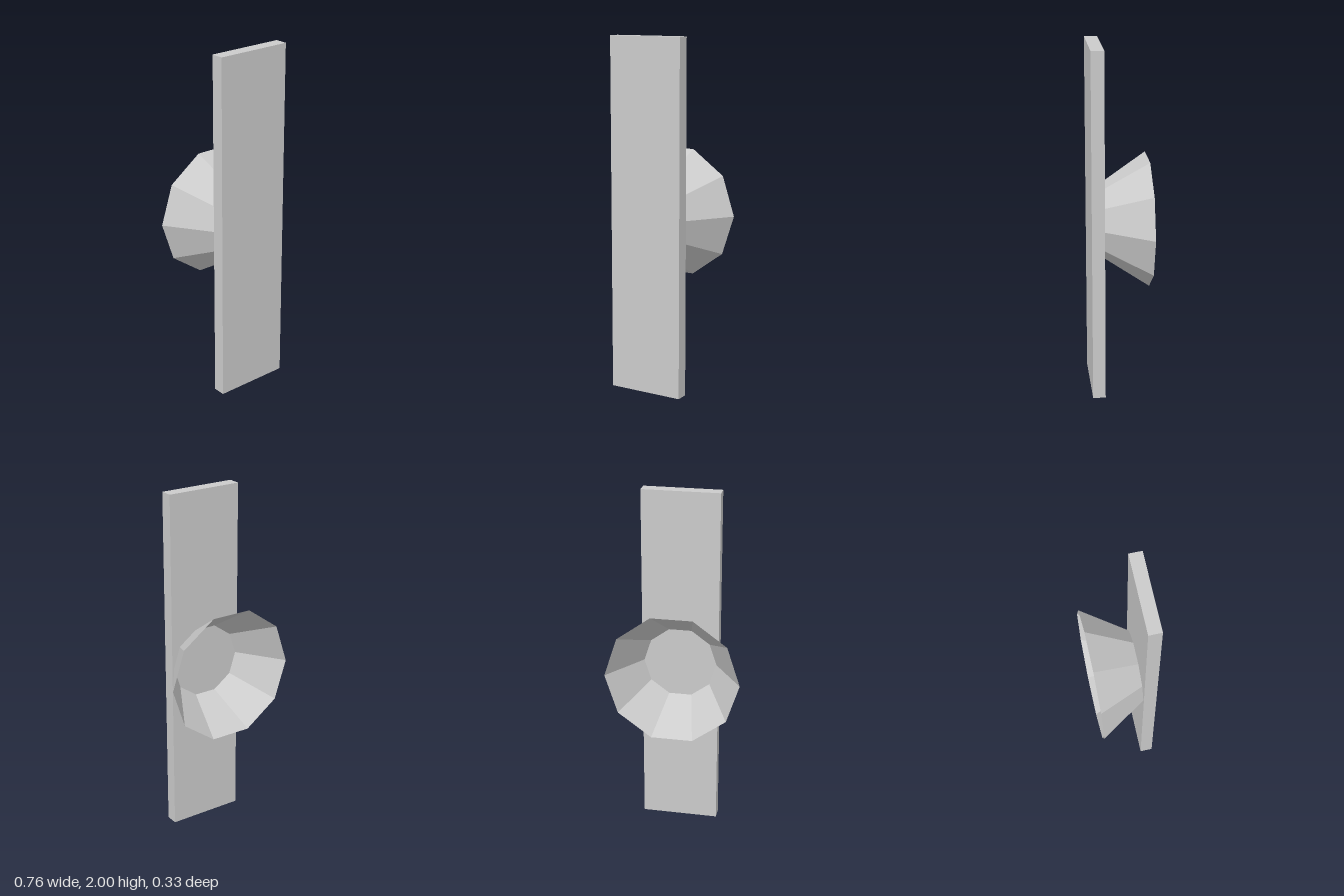
import * as THREE from 'three';

export function createModel() {
  const group = new THREE.Group();

  // Tall flat plate at the front
  const depth = 0.072, front = 0.165;
  const plate = new THREE.Mesh(
    new THREE.BoxGeometry(0.44, 2, depth),
    new THREE.MeshStandardMaterial({ color: 0xcccccc, flatShading: true })
  );
  plate.name = 'plate';
  plate.position.set(0, 1, front - depth / 2);
  group.add(plate);

  // Open ten-sided cone flaring backwards from the plate
  const length = 2 * front - depth;
  const coneGeometry = new THREE.CylinderGeometry(0.209, 0.38, length, 10, 1, true, Math.PI / 2);
  coneGeometry.rotateX(Math.PI / 2);
  const cone = new THREE.Mesh(
    coneGeometry,
    new THREE.MeshStandardMaterial({ color: 0xcccccc, flatShading: true, side: THREE.DoubleSide })
  );
  cone.name = 'flaredCone';
  cone.position.set(0, 1, -front + length / 2);
  group.add(cone);

  return group;
}
